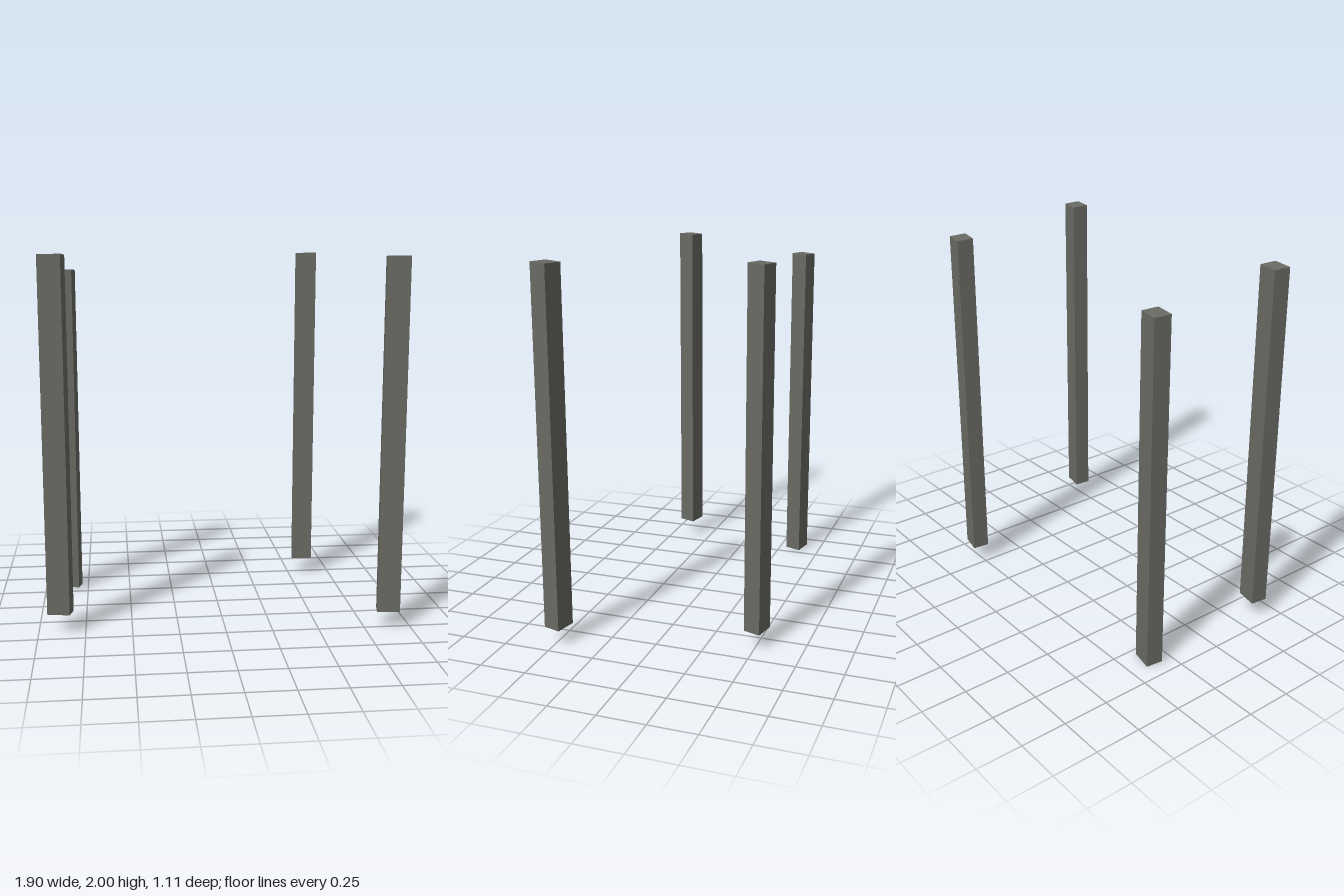
import * as THREE from 'three';

export function createModel() {
  const model = new THREE.Group();
  model.name = 'postSet';
  const darkGrey = new THREE.MeshStandardMaterial({ color: 0x6a6a64 });
  darkGrey.name = 'darkGrey';

  const width = 0.122, depth = 0.089, height = 1.893;
  const turn = -0.2, slope = 0.07;

  // Square-edged post, turned, with ends cut slightly higher at the front
  const postShape = new THREE.BoxGeometry(width, height, depth);
  postShape.rotateY(turn);
  const p = postShape.attributes.position;
  for (let i = 0; i < p.count; i++) p.setY(i, p.getY(i) + slope * p.getZ(i));
  postShape.computeVertexNormals();

  // Name, x, bottom height, z
  const posts = [
    ['backLeftPost', 0.587, 0.093, -0.5],
    ['backRightPost', -0.855, 0.004, -0.35],
    ['frontRightPost', -0.883, 0.103, 0.386],
    ['frontLeftPost', 0.881, 0.093, 0.495],
  ];
  for (const [name, x, bottom, z] of posts) {
    const post = new THREE.Mesh(postShape, darkGrey);
    post.name = name;
    post.position.set(x, bottom + height / 2, z);
    model.add(post);
  }
  return model;
}
